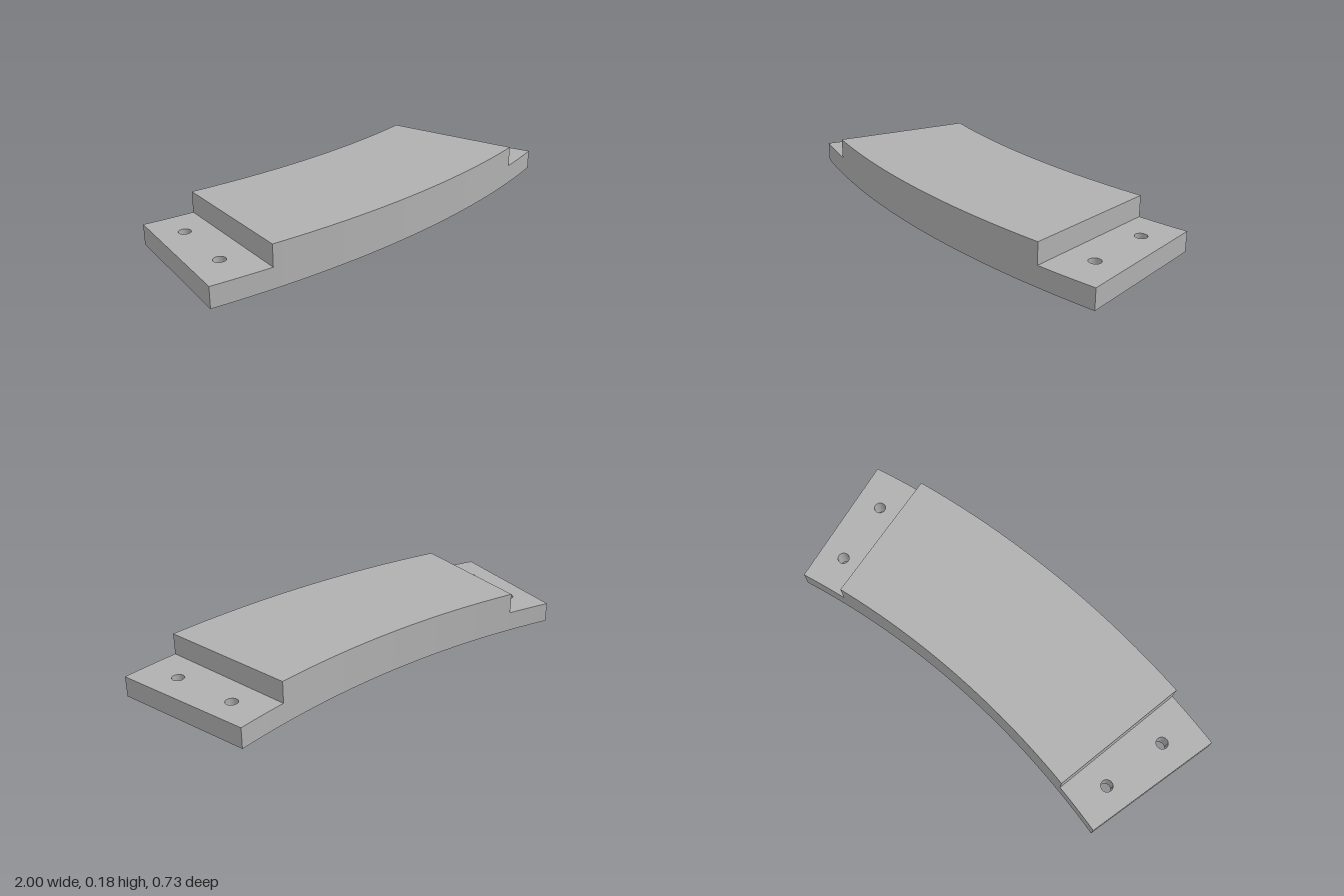
import * as THREE from 'three';

const CENTRE_Z = -4.153; // common centre of both curved walls
const R_OUTER = 4.52, R_INNER = 3.884;
const END = Math.asin(1 / R_OUTER);        // half angle of the whole plate
const STEP = Math.asin(0.748 / R_OUTER);   // half angle of the raised pad
const FLANGE_H = 0.089, PAD_H = 0.182;

// Ring sector between two angles, extruded upwards, with round through holes
function sector(a0, a1, height, segments, holes = []) {
  const points = [];
  const addArc = (r, from, to) => {
    for (let i = 0; i <= segments; i++) {
      const a = from + (to - from) * i / segments;
      points.push(new THREE.Vector2(r * Math.sin(a), -(CENTRE_Z + r * Math.cos(a))));
    }
  };
  addArc(R_OUTER, a0, a1);
  addArc(R_INNER, a1, a0);
  const shape = new THREE.Shape(points);
  for (const [x, z] of holes) {
    shape.holes.push(new THREE.Path().absarc(x, -z, 0.026, 0, Math.PI * 2, true));
  }
  const geometry = new THREE.ExtrudeGeometry(shape, { depth: height, bevelEnabled: false, curveSegments: 16 });
  return geometry.rotateX(-Math.PI / 2);
}

export function createModel() {
  const model = new THREE.Group();
  model.name = 'curvedMountingPlate';
  const grey = new THREE.MeshStandardMaterial({ color: 0xb0b0b0 });
  grey.name = 'grey';

  const add = (name, geometry) => {
    const mesh = new THREE.Mesh(geometry, grey);
    mesh.name = name;
    model.add(mesh);
  };

  // Thick curved middle
  add('raisedPad', sector(-STEP, STEP, PAD_H, 36));

  // Thin end flanges, each with two bolt holes
  for (const [name, s] of [['leftFlange', 1], ['rightFlange', -1]]) {
    const [a0, a1] = s > 0 ? [STEP, END] : [-END, -STEP];
    add(name, sector(a0, a1, FLANGE_H, 6, [[s * 0.784, -0.186], [s * 0.843, 0.112]]));
  }
  return model;
}
